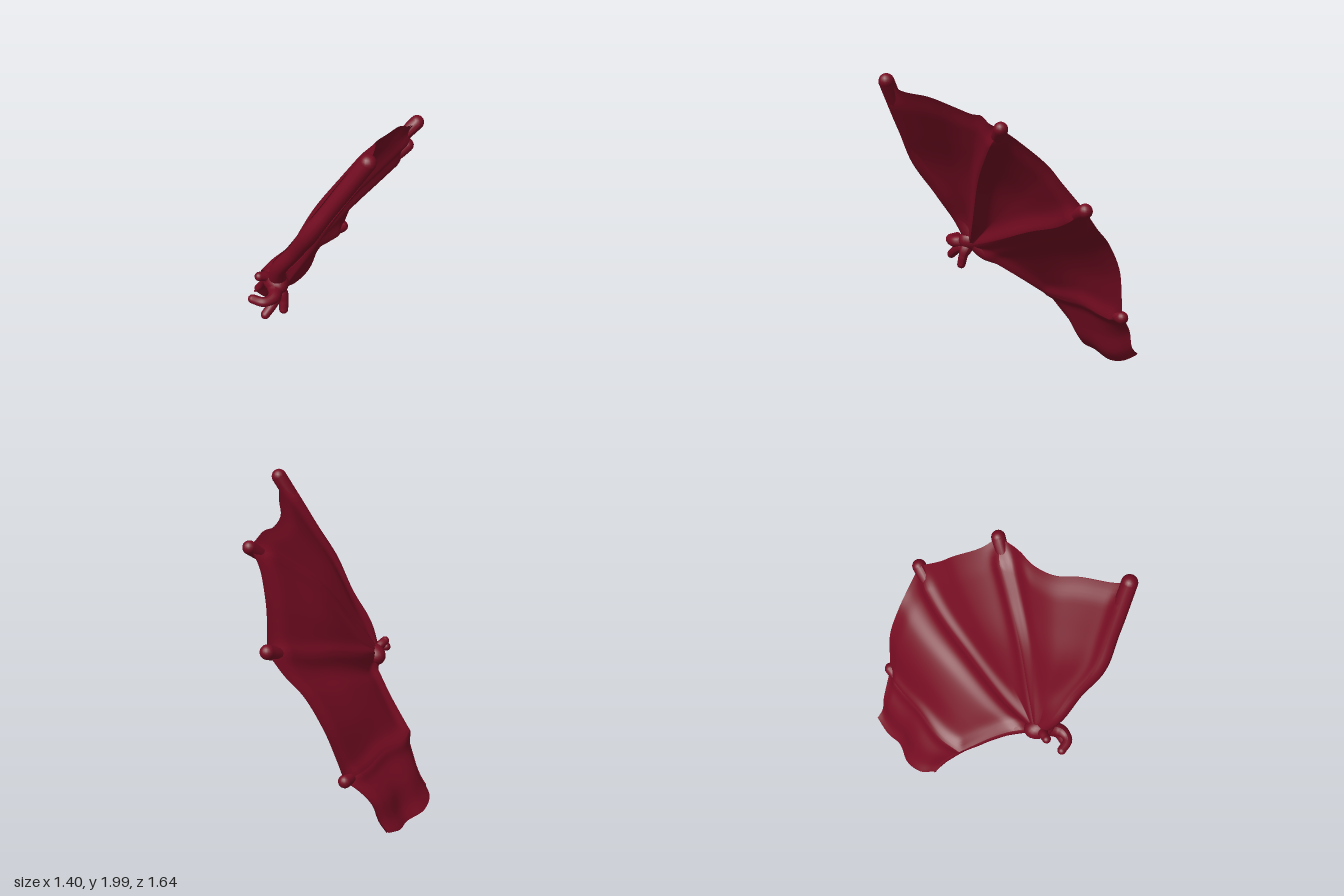
import * as THREE from 'three';

const skin = new THREE.MeshStandardMaterial({ color: 0x750c22, side: THREE.DoubleSide });
skin.name = 'wing skin';

const V = (p) => new THREE.Vector3(...p);
const path = (...pts) => new THREE.CatmullRomCurve3(pts.map(V), false, 'centripetal');
// direction from the inner face of the wing to its back
const BACK = new THREE.Vector3(-0.49, 0.49, -0.72).normalize();
const WRIST = [-0.47, 0.78, 0.155];

// bone lines
const lead = path(WRIST, [-0.495, 0.95, 0.25], [-0.445, 1.15, 0.385], [-0.395, 1.41, 0.55], [-0.3, 1.63, 0.645], [-0.16, 1.945, 0.775]);
const upper = path(WRIST, [-0.3, 0.985, 0.17], [-0.04, 1.33, 0.19], [0.2, 1.53, 0.2], [0.46, 1.733, 0.2]);
const middle = path(WRIST, [-0.25, 0.87, 0.03], [0.1, 1.02, -0.11], [0.38, 1.12, -0.205], [0.655, 1.253, -0.265]);
const lower = path([-0.355, 0.43, -0.34], [-0.22, 0.43, -0.43], [0, 0.455, -0.5], [0.18, 0.435, -0.57], [0.35, 0.438, -0.625]);

// free edges of the membrane
const edgeTop = path([-0.16, 1.945, 0.775], [-0.11, 1.89, 0.7], [0, 1.86, 0.54], [0.08, 1.81, 0.41], [0.2, 1.78, 0.32], [0.3, 1.785, 0.28], [0.38, 1.75, 0.25], [0.46, 1.733, 0.2]);
const edgeOuter = path([0.46, 1.733, 0.2], [0.465, 1.65, 0.09], [0.53, 1.51, -0.07], [0.57, 1.41, -0.145], [0.655, 1.253, -0.265]);
const edgeSide = path([0.655, 1.253, -0.265], [0.6, 1.12, -0.36], [0.53, 1, -0.46], [0.46, 0.8, -0.56], [0.4, 0.61, -0.6], [0.35, 0.438, -0.625]);
const edgeTail = path([0.35, 0.438, -0.625], [0.28, 0.37, -0.68], [0.22, 0.28, -0.73], [0.18, 0.15, -0.765], [0.155, 0.09, -0.815]);
const armEdge = path(WRIST, [-0.425, 0.7, 0.09], [-0.4, 0.665, 0.01], [-0.375, 0.59, -0.11], [-0.355, 0.43, -0.34]);
const rootEdge = path([-0.355, 0.43, -0.34], [-0.345, 0.3, -0.43], [-0.345, 0.2, -0.5], [-0.365, 0.13, -0.56]);
const rimFront = path([-0.365, 0.13, -0.56], [-0.28, 0.045, -0.565], [-0.14, 0.035, -0.615], [0, 0.008, -0.675], [0.1, 0.035, -0.74], [0.155, 0.09, -0.815]);
const rimBack = path([-0.365, 0.13, -0.56], [-0.325, 0.1, -0.65], [-0.22, 0.065, -0.715], [-0.07, 0.045, -0.725], [0.03, 0.05, -0.78], [0.155, 0.09, -0.815]);
const hub = { getPointAt: () => V(WRIST) };

// one face of a panel stretched between four curves: a and b run outward, inner and outer join them.
// side is 1 for the back face and -1 for the front; the skin swells to meet each bone.
function sheet(name, side, { a, b, inner, outer, sag, swell, sleeve }) {
  const geo = new THREE.PlaneGeometry(1, 1, 44, 44);
  const pos = geo.attributes.position;
  const p = new THREE.Vector3();
  const ridge = (d) => Math.exp(-((d / 0.06) ** 2));
  for (let i = 0; i < pos.count; i++) {
    const u = THREE.MathUtils.clamp(pos.getX(i) + 0.5, 0, 1);
    const v = THREE.MathUtils.clamp(pos.getY(i) + 0.5, 0, 1);
    const A = a.getPointAt(u), B = b.getPointAt(u), I = inner.getPointAt(v), O = outer.getPointAt(v);
    p.set(0, 0, 0)
      .addScaledVector(A, 1 - v).addScaledVector(B, v)
      .addScaledVector(I, 1 - u).addScaledVector(O, u)
      .addScaledVector(a.getPointAt(0), -(1 - u) * (1 - v)).addScaledVector(b.getPointAt(0), -(1 - u) * v)
      .addScaledVector(a.getPointAt(1), -u * (1 - v)).addScaledVector(b.getPointAt(1), -u * v);
    const width = A.distanceTo(B);
    const fade = 1 - THREE.MathUtils.smoothstep(u, 0.88, 1);
    let half = 0.016 + swell[0] * ridge(v * width);
    if (sleeve) {
      half = half * Math.cos(v * Math.PI / 2) + 0.02 * Math.sin(Math.PI * u) * Math.sin(Math.PI * v);
    } else {
      const ends = Math.max(swell[1] * ridge((1 - v) * width), 0.03 * ridge(p.distanceTo(I)));
      half = 0.016 + Math.max(half - 0.016, ends);
    }
    const bulge = sag * Math.sin(Math.PI * u) * Math.sin(Math.PI * v);
    p.addScaledVector(BACK, bulge + side * (half * fade + 0.003));
    pos.setXYZ(i, p.x, p.y, p.z);
  }
  geo.computeVertexNormals();
  const mesh = new THREE.Mesh(geo, skin);
  mesh.name = name;
  return mesh;
}

// tube whose radius follows a list of values, with rounded ends
function bone(name, curve, radii) {
  const g = new THREE.Group();
  g.name = name;
  const rings = 40, sides = 14;
  const geo = new THREE.TubeGeometry(curve, rings, 1, sides);
  const pos = geo.attributes.position;
  const p = new THREE.Vector3();
  const radiusAt = (t) => {
    const f = t * (radii.length - 1), k = Math.min(Math.floor(f), radii.length - 2);
    return THREE.MathUtils.lerp(radii[k], radii[k + 1], THREE.MathUtils.smoothstep(f - k, 0, 1));
  };
  for (let i = 0; i < pos.count; i++) {
    const t = Math.floor(i / (sides + 1)) / rings;
    const c = curve.getPointAt(t);
    p.fromBufferAttribute(pos, i).sub(c).multiplyScalar(radiusAt(t)).add(c);
    pos.setXYZ(i, p.x, p.y, p.z);
  }
  geo.computeVertexNormals();
  g.add(new THREE.Mesh(geo, skin));
  for (const t of [0, 1]) {
    const cap = new THREE.Mesh(new THREE.SphereGeometry(radiusAt(t), 16, 12), skin);
    cap.position.copy(curve.getPointAt(t));
    g.add(cap);
  }
  g.children.forEach((m) => { m.name = name + 'Part'; });
  return g;
}

export function createModel() {
  const wing = new THREE.Group();
  wing.name = 'wing';

  // skin panels between the fingers, each with a front and a back face
  const panels = {
    upperPanel: { a: lead, b: upper, inner: hub, outer: edgeTop, sag: 0.02, swell: [0.034, 0.044] },
    middlePanel: { a: upper, b: middle, inner: hub, outer: edgeOuter, sag: 0.015, swell: [0.044, 0.038] },
    lowerPanel: { a: middle, b: lower, inner: armEdge, outer: edgeSide, sag: 0.015, swell: [0.038, 0.032] },
  };
  for (const [name, panel] of Object.entries(panels)) {
    wing.add(sheet(name + 'Back', 1, panel), sheet(name + 'Front', -1, panel));
  }

  // hollow root sleeve, open at the rim
  const root = { a: lower, inner: rootEdge, outer: edgeTail, sag: 0, swell: [0.032], sleeve: true };
  wing.add(sheet('rootBack', 1, { ...root, b: rimBack }), sheet('rootFront', -1, { ...root, b: rimFront }));

  // finger bones with swollen joints and blunt tips
  wing.add(
    bone('leadingBone', lead, [0.06, 0.05, 0.048, 0.055, 0.048, 0.05, 0.05]),
    bone('upperFinger', upper, [0.05, 0.036, 0.038, 0.05, 0.036, 0.034, 0.044]),
    bone('middleFinger', middle, [0.05, 0.032, 0.032, 0.038, 0.032, 0.034, 0.046]),
    bone('lowerFinger', lower, [0.02, 0.026, 0.032, 0.04, 0.028, 0.03, 0.042]),
    bone('armEdge', armEdge, [0.06, 0.046, 0.038, 0.032, 0.024]),
    bone('rootEdge', rootEdge, [0.024, 0.02, 0.016, 0.008]),
  );

  // wrist knuckle, deeper than wide
  const wrist = new THREE.Mesh(new THREE.SphereGeometry(0.078, 20, 14), skin);
  wrist.name = 'wrist';
  wrist.position.set(-0.482, 0.785, 0.155);
  wrist.scale.z = 1.4;
  wing.add(wrist);

  // small claws round the wrist
  const start = [-0.49, 0.77, 0.18];
  const claws = [
    [[-0.54, 0.83, 0.15], [-0.592, 0.853, 0.155]],
    [[-0.55, 0.76, 0.28], [-0.62, 0.76, 0.295], [-0.672, 0.758, 0.235]],
    [[-0.54, 0.71, 0.26], [-0.612, 0.652, 0.29]],
    [[-0.465, 0.7, 0.23], [-0.472, 0.617, 0.25]],
  ];
  claws.forEach((pts, i) => wing.add(bone('claw' + (i + 1), path(start, ...pts), [0.06, 0.042, 0.031, 0.029])));
  return wing;
}
